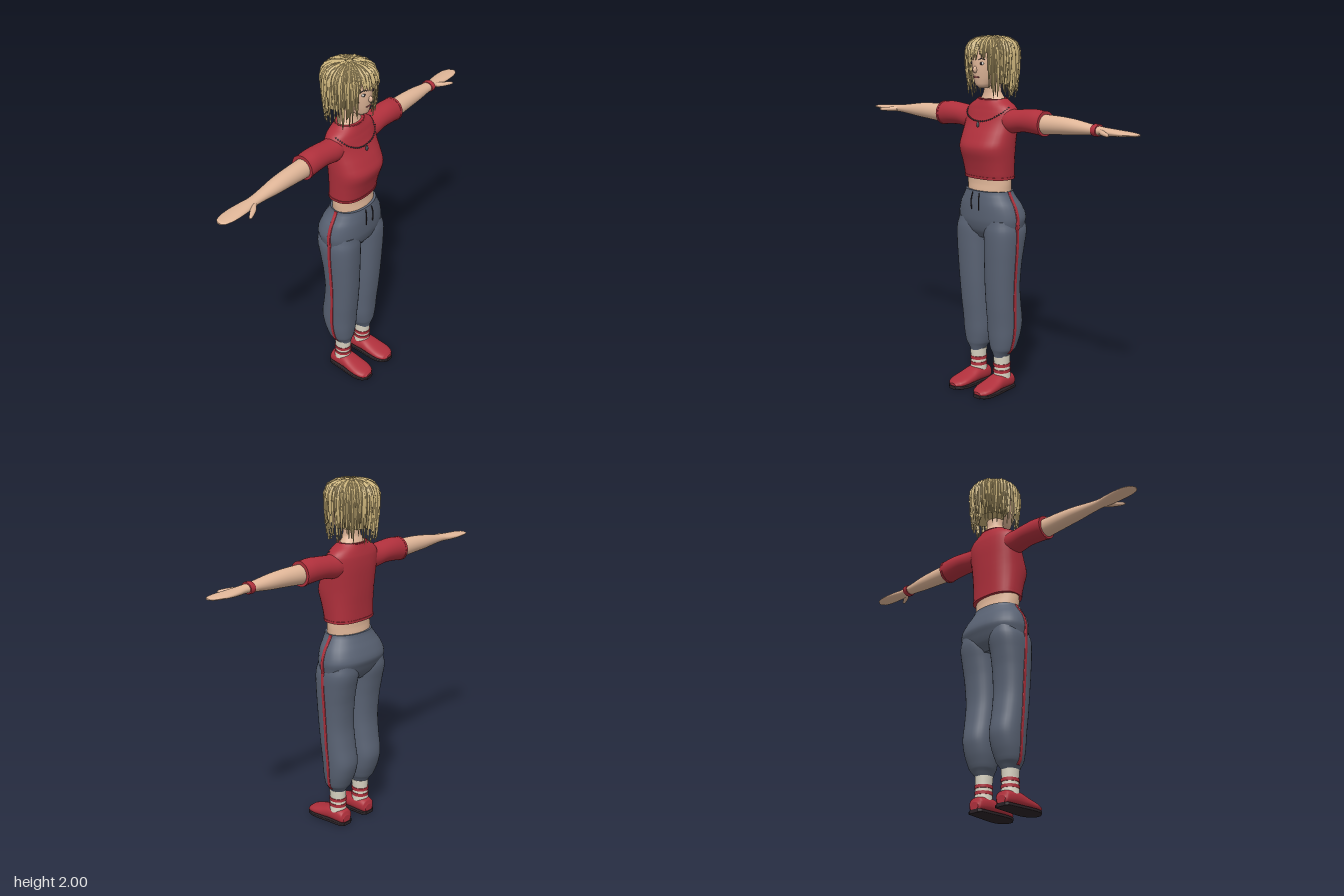
import * as THREE from 'three';

const mat = (color, extra = {}) => new THREE.MeshStandardMaterial({ color, ...extra });
const M = {
  skin: mat(0xe0b698), red: mat(0xb0303c), pants: mat(0x596273), sock: mat(0xd9d3c2), dark: mat(0x2a2226),
  hair: mat(0xc8b078, { flatShading: true, side: THREE.DoubleSide }), metal: mat(0x4a5058), lips: mat(0x8a4a4a), white: mat(0xe8e4dc),
};

// Smoothed cross-sections along an axis. Row: [t, aMin, aMax, bMin, bMax, squareness]
// axis y: a = x, b = z;  axis x: a = z, b = y;  axis z: a = y, b = x
function loft(rows, axis = 'y', sub = 4, seg = 32) {
  const rings = [], n = rows.length;
  for (let i = 0; i < n - 1; i++) {
    const p = [rows[Math.max(i - 1, 0)], rows[i], rows[i + 1], rows[Math.min(i + 2, n - 1)]];
    for (let k = 0; k < sub + (i === n - 2 ? 1 : 0); k++) {
      const u = k / sub;
      rings.push([0, 1, 2, 3, 4, 5].map((c) => {
        const [a, b, d, e] = p.map((r) => r[c] ?? 2);
        if (c === 0) return b + (d - b) * u;
        return 0.5 * (2 * b + (d - a) * u + (2 * a - 5 * b + 4 * d - e) * u * u + (3 * b - a - 3 * d + e) * u ** 3);
      }));
    }
  }
  const pos = [], idx = [];
  const put = (t, a, b) => pos.push(...(axis === 'y' ? [a, t, b] : axis === 'x' ? [t, b, a] : [b, a, t]));
  const ring = ([t, a0, a1, b0, b1, q]) => {
    for (let j = 0; j < seg; j++) {
      const w = (j / seg) * Math.PI * 2, c = Math.cos(w), s = Math.sin(w);
      put(t, (a0 + a1) / 2 + ((a1 - a0) / 2) * Math.sign(c) * Math.abs(c) ** (2 / q),
        (b0 + b1) / 2 + ((b1 - b0) / 2) * Math.sign(s) * Math.abs(s) ** (2 / q));
    }
  };
  rings.forEach(ring);
  for (let i = 0; i < rings.length - 1; i++) for (let j = 0; j < seg; j++) {
    const a = i * seg + j, b = i * seg + ((j + 1) % seg);
    idx.push(a, a + seg, b, a + seg, b + seg, b);
  }
  // end caps with their own rim so the edge stays sharp
  [rings[0], rings[rings.length - 1]].forEach((r, e) => {
    const base = pos.length / 3;
    ring(r);
    put(r[0], (r[1] + r[2]) / 2, (r[3] + r[4]) / 2);
    for (let j = 0; j < seg; j++) {
      const k = (j + 1) % seg;
      idx.push(base + seg, base + (e ? k : j), base + (e ? j : k));
    }
  });
  const g = new THREE.BufferGeometry();
  g.setAttribute('position', new THREE.Float32BufferAttribute(pos, 3));
  g.setIndex(idx);
  g.computeVertexNormals();
  return g;
}

// Row symmetric in x: [y, half width, back z, front z, squareness]
const sym = (rows, sub) => loft(rows.map(([y, w, z0, z1, q]) => [y, -w, w, z0, z1, q]), 'y', sub);

function mirrored(geo) {
  const g = geo.clone().scale(-1, 1, 1), ix = g.index.array;
  for (let i = 0; i < ix.length; i += 3) [ix[i], ix[i + 1]] = [ix[i + 1], ix[i]];
  g.computeVertexNormals();
  return g;
}

const ball = (x, y, z, rx, ry, rz) => new THREE.SphereGeometry(1, 16, 12).scale(rx, ry, rz).translate(x, y, z);
const tube = (pts, r, n = 16) => new THREE.TubeGeometry(
  new THREE.CatmullRomCurve3(pts.map((p) => new THREE.Vector3(...p))), n, r, 8);

function hairGeometry() {
  let seed = 7;
  const rnd = () => (seed = (seed * 16807) % 2147483647) / 2147483647;
  const profile = [[0, 1.988], [0.075, 1.982], [0.118, 1.96], [0.136, 1.92], [0.136, 1.85], [0.13, 1.77], [0.118, 1.66]];
  const at = (s) => {
    const i = Math.min(Math.floor(s), 5), u = s - i;
    return [0, 1].map((c) => profile[i][c] + (profile[i + 1][c] - profile[i][c]) * u);
  };
  const pos = [], idx = [];
  // one tapered ribbon with a raised ridge, following the hair profile
  const strand = (th, s0, s1, width, lift) => {
    const base = pos.length / 3, rows = 7, drift = (rnd() - 0.5) * 0.12;
    for (let i = 0; i < rows; i++) {
      const u = i / (rows - 1), [r, y] = at(s0 + (s1 - s0) * u);
      const half = width * (1 - 0.85 * u * u) * Math.min(1, 0.3 + r / 0.1);
      for (let k = -1; k <= 1; k++) {
        const rr = r + lift * (0.4 + u * 0.6) + (k ? 0 : 0.006), a = th + drift * u;
        pos.push(Math.cos(a) * rr - Math.sin(a) * half * k, y + (k ? 0 : 0.004) + (s0 < 2 ? lift * (1 - u) : 0),
          -0.037 + (Math.sin(a) * rr + Math.cos(a) * half * k) * 1.06);
      }
      if (i) for (let k = 0; k < 2; k++) {
        const b = base + i * 3 + k;
        idx.push(b - 3, b - 2, b, b - 2, b + 1, b);
      }
    }
  };
  const layers = [[64, 1.6, 5.2, 6.0, 0.011, 0], [56, 1.2, 4.6, 5.9, 0.012, 0.005], [44, 0.6, 3.2, 4.8, 0.013, 0.008], [30, 0.15, 1.6, 2.8, 0.014, 0.009]];
  for (const [count, s0, lo, hi, width, lift] of layers) for (let i = 0; i < count; i++) {
    const th = ((i + rnd() * 0.7) / count) * Math.PI * 2;
    const front = Math.abs(th - Math.PI / 2) < 0.62;
    const end = lo + (hi - lo) * rnd();
    strand(th, s0, front ? Math.min(end, 3.1 + rnd() * 0.6) : end, width, lift + rnd() * 0.006 - 0.003);
  }
  const g = new THREE.BufferGeometry();
  g.setAttribute('position', new THREE.Float32BufferAttribute(pos, 3));
  g.setIndex(idx);
  g.computeVertexNormals();
  return g;
}

export function createModel() {
  const root = new THREE.Group();
  const add = (name, geo, m) => {
    const mesh = new THREE.Mesh(geo, m);
    mesh.name = name;
    root.add(mesh);
  };
  const pair = (name, geo, m) => {
    add(name + 'Left', geo, m);
    add(name + 'Right', mirrored(geo), m);
  };

  // head, neck and waist
  add('head', sym([[1.722, 0.022, 0.01, 0.062], [1.738, 0.045, -0.03, 0.082], [1.775, 0.066, -0.09, 0.092],
    [1.83, 0.08, -0.125, 0.099], [1.88, 0.086, -0.14, 0.098], [1.93, 0.084, -0.135, 0.088],
    [1.965, 0.062, -0.1, 0.06], [1.982, 0.02, -0.05, 0]]), M.skin);
  add('neck', sym([[1.635, 0.09, -0.1, 0.025], [1.67, 0.07, -0.09, 0.014], [1.7, 0.052, -0.08, 0.01], [1.79, 0.05, -0.08, 0.012]]), M.skin);
  add('waist', sym([[1.12, 0.143, -0.105, 0.08], [1.16, 0.143, -0.105, 0.08], [1.2, 0.146, -0.1, 0.075], [1.27, 0.145, -0.1, 0.075]]), M.skin);

  // face
  add('nose', ball(0, 1.823, 0.098, 0.011, 0.018, 0.017), M.skin);
  add('mouth', ball(0, 1.782, 0.09, 0.022, 0.006, 0.006), M.lips);
  pair('eye', ball(0.036, 1.856, 0.084, 0.014, 0.008, 0.008), M.white);
  pair('iris', ball(0.036, 1.856, 0.088, 0.008, 0.008, 0.006), M.dark);
  pair('eyebrow', tube([[0.02, 1.876, 0.093], [0.036, 1.882, 0.089], [0.054, 1.876, 0.077]], 0.0025), M.dark);
  pair('ear', ball(0.086, 1.84, -0.02, 0.012, 0.028, 0.018), M.skin);

  // hair: inner cap plus layered strands
  add('hairBase', sym([[1.745, 0.1, -0.15, -0.02], [1.8, 0.118, -0.168, 0.02], [1.88, 0.126, -0.176, 0.035],
    [1.92, 0.128, -0.178, 0.085], [1.955, 0.112, -0.16, 0.08], [1.98, 0.07, -0.11, 0.035], [1.986, 0.02, -0.05, -0.02]], 2), M.hair);
  add('hairStrands', hairGeometry(), M.hair);

  // shirt
  add('shirtBody', sym([[1.228, 0.15, -0.112, 0.083, 2.5], [1.245, 0.152, -0.112, 0.088, 2.5], [1.32, 0.158, -0.115, 0.108, 2.4],
    [1.395, 0.164, -0.12, 0.131, 2.4], [1.45, 0.166, -0.123, 0.112, 2.4], [1.53, 0.168, -0.126, 0.072, 2.4],
    [1.59, 0.172, -0.123, 0.052, 2.3], [1.625, 0.15, -0.115, 0.042, 2.2], [1.662, 0.093, -0.105, 0.031]]), M.red);
  add('shirtHem', sym([[1.226, 0.153, -0.115, 0.087, 2.5], [1.24, 0.154, -0.115, 0.089, 2.5]], 1), M.red);
  pair('sleeve', loft([[0.08, -0.1, 0.03, 1.48, 1.625], [0.16, -0.1, 0.034, 1.482, 1.612], [0.24, -0.1, 0.03, 1.495, 1.618],
    [0.32, -0.1, 0.03, 1.492, 1.624], [0.388, -0.1, 0.03, 1.486, 1.618]], 'x'), M.red);
  pair('sleeveHem', loft([[0.376, -0.102, 0.032, 1.484, 1.62], [0.39, -0.102, 0.032, 1.484, 1.62]], 'x', 1), M.red);
  add('collar', new THREE.TorusGeometry(1, 0.045, 8, 40).rotateX(Math.PI / 2).scale(0.09, 0.09, 0.068).translate(0, 1.66, -0.037), M.red);

  // arms and hands
  pair('arm', loft([[0.36, -0.085, 0.018, 1.495, 1.602], [0.5, -0.08, 0.014, 1.505, 1.6], [0.6, -0.076, 0.01, 1.512, 1.592],
    [0.7, -0.066, 0.002, 1.522, 1.578], [0.77, -0.063, 0, 1.527, 1.57], [0.82, -0.073, 0.006, 1.527, 1.566],
    [0.88, -0.08, 0.009, 1.53, 1.562], [0.94, -0.078, 0.008, 1.535, 1.558], [0.98, -0.065, -0.004, 1.538, 1.554], [0.995, -0.045, -0.02, 1.542, 1.55]], 'x'), M.skin);
  pair('thumb', loft([[0.77, -0.03, 0.002, 1.533, 1.56], [0.8, -0.012, 0.026, 1.532, 1.558], [0.835, 0.014, 0.043, 1.532, 1.554],
    [0.86, 0.033, 0.051, 1.533, 1.55], [0.87, 0.041, 0.05, 1.537, 1.545]], 'x'), M.skin);
  add('wristband', loft([[0.72, -0.07, 0.006, 1.52, 1.58], [0.725, -0.072, 0.008, 1.518, 1.582], [0.745, -0.072, 0.008, 1.518, 1.582], [0.75, -0.07, 0.006, 1.52, 1.58]], 'x', 1), M.red);

  // trousers
  add('hips', sym([[0.89, 0.17, -0.1, 0.05], [0.93, 0.2, -0.135, 0.08, 2.2], [0.98, 0.212, -0.158, 0.096, 2.3],
    [1.02, 0.214, -0.17, 0.1, 2.3], [1.08, 0.194, -0.15, 0.1, 2.3], [1.13, 0.162, -0.126, 0.097, 2.2], [1.16, 0.147, -0.115, 0.093, 2.2]]), M.pants);
  pair('trouserLeg', loft([[0.2, 0.05, 0.138, -0.064, 0.036], [0.215, 0.045, 0.144, -0.072, 0.04], [0.25, 0.026, 0.168, -0.095, 0.05, 2.2],
    [0.32, 0.011, 0.182, -0.122, 0.058, 2.3], [0.4, 0.006, 0.188, -0.138, 0.064, 2.3], [0.5, 0.006, 0.192, -0.122, 0.074, 2.3], [0.62, 0.006, 0.196, -0.108, 0.083, 2.3],
    [0.76, 0.005, 0.205, -0.116, 0.09, 2.3], [0.86, 0.003, 0.212, -0.134, 0.094, 2.3], [0.94, 0, 0.213, -0.15, 0.094, 2.3], [1.0, 0.015, 0.195, -0.145, 0.085, 2.3]]), M.pants);
  pair('sideStripe', loft([[0.225, 0.155], [0.25, 0.171], [0.32, 0.185], [0.4, 0.191], [0.5, 0.195], [0.62, 0.199], [0.76, 0.208], [0.86, 0.215],
    [0.94, 0.216], [1.02, 0.217], [1.08, 0.197], [1.13, 0.165], [1.158, 0.151]]
    .map(([y, x]) => { const z = -0.016 - 0.012 * Math.exp(-(((y - 0.38) / 0.12) ** 2)); return [y, x - 0.03, x, z - 0.011, z + 0.011, 5]; }), 'y', 3, 20), M.red);
  pair('drawstring', tube([[0.025, 1.152, 0.096], [0.029, 1.11, 0.104], [0.028, 1.055, 0.103]], 0.003), M.dark);

  // socks with two stripes
  pair('sock', loft([[0.07, 0.046, 0.144, -0.068, 0.032], [0.14, 0.05, 0.138, -0.064, 0.03], [0.208, 0.047, 0.141, -0.066, 0.034]]), M.sock);
  [0.115, 0.15].forEach((y, i) => pair('sockStripe' + (i + 1),
    loft([[y - 0.009, 0.046, 0.142, -0.068, 0.034], [y + 0.009, 0.046, 0.142, -0.068, 0.034]], 'y', 1), M.red));

  // shoes
  pair('shoe', loft([[-0.09, 0.015, 0.06, 0.065, 0.125], [-0.08, 0.01, 0.085, 0.05, 0.138, 2.4], [-0.04, 0.01, 0.096, 0.043, 0.145, 2.4],
    [0.02, 0.01, 0.097, 0.04, 0.15, 2.3], [0.07, 0.01, 0.078, 0.037, 0.157, 2.3], [0.13, 0.01, 0.06, 0.038, 0.16, 2.3],
    [0.17, 0.01, 0.047, 0.052, 0.148, 2.3], [0.188, 0.014, 0.034, 0.075, 0.125]], 'z'), M.red);
  pair('sole', loft([[-0.093, 0, 0.02, 0.065, 0.125, 6], [-0.08, 0, 0.02, 0.046, 0.142, 6], [0.0, 0, 0.02, 0.04, 0.151, 6],
    [0.07, 0, 0.02, 0.034, 0.16, 6], [0.13, 0, 0.02, 0.035, 0.163, 6], [0.17, 0, 0.02, 0.05, 0.15, 6], [0.192, 0, 0.02, 0.075, 0.125, 6]], 'z'), M.dark);

  // necklace of small links with a pendant
  const chain = new THREE.CatmullRomCurve3([[-0.148, 1.622, -0.01], [-0.12, 1.582, 0.044], [-0.065, 1.553, 0.068], [0, 1.543, 0.072],
    [0.065, 1.553, 0.068], [0.12, 1.582, 0.044], [0.148, 1.622, -0.01]].map((p) => new THREE.Vector3(...p)));
  chain.getSpacedPoints(30).forEach((p, i) => add('necklaceLink' + i, ball(p.x, p.y, p.z, 0.0045, 0.0035, 0.0045), M.metal));
  add('pendant', ball(0, 1.525, 0.08, 0.009, 0.016, 0.007), M.metal);
  return root;
}
